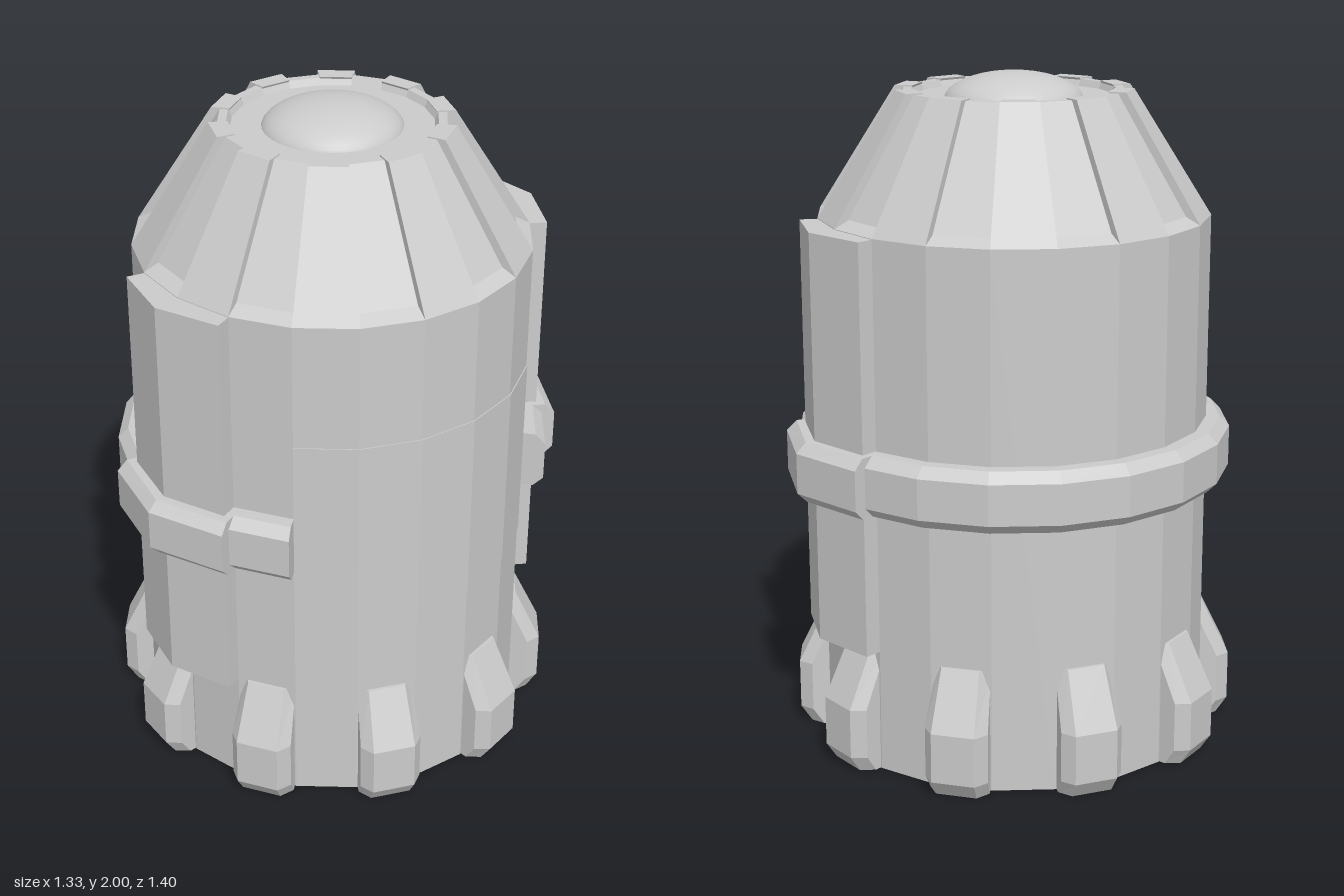
import * as THREE from 'three';

const SIDES = 20;
const STEP = 360 / SIDES;
const grey = new THREE.MeshStandardMaterial({ color: 0xcccccc, flatShading: true });
const smooth = new THREE.MeshStandardMaterial({ color: 0xcccccc });
const pale = new THREE.MeshStandardMaterial({ color: 0xf4f4f4, flatShading: true });

// Sweeps a closed, convex [radius, y] profile around the y axis.
// sections: [angle in degrees from +z towards +x, inset of the outer points]
function sweep(profile, sections) {
  const n = profile.length;
  const rings = sections.map(([deg, inset]) => {
    const a = THREE.MathUtils.degToRad(deg);
    return profile.map(([r, y], j) => {
      const rad = j === 0 || j === n - 1 ? r : r - inset;
      return [rad * Math.sin(a), y, rad * Math.cos(a)];
    });
  });
  const pos = [];
  const tri = (a, b, c) => pos.push(...a, ...b, ...c);
  for (let i = 0; i < rings.length - 1; i++) {
    for (let j = 0; j < n; j++) {
      const k = (j + 1) % n;
      tri(rings[i][j], rings[i + 1][j], rings[i + 1][k]);
      tri(rings[i][j], rings[i + 1][k], rings[i][k]);
    }
  }
  const first = rings[0], last = rings[rings.length - 1];
  for (let j = 1; j < n - 1; j++) {
    tri(first[0], first[j], first[j + 1]);
    tri(last[0], last[j + 1], last[j]);
  }
  const g = new THREE.BufferGeometry();
  g.setAttribute('position', new THREE.Float32BufferAttribute(pos, 3));
  g.computeVertexNormals();
  return g;
}

// Section list on every facet corner between two angles
function corners(from, to) {
  const list = [];
  for (let a = from; a <= to; a += STEP) list.push([a, 0]);
  return list;
}

export function createModel() {
  const model = new THREE.Group();
  const add = (name, geometry, material = grey) => {
    const mesh = new THREE.Mesh(geometry, material);
    mesh.name = name;
    model.add(mesh);
    return mesh;
  };

  // Faceted hull: recessed floor, barrel, tapered nose, sunk top
  const hull = [
    [0, 0.02], [0.47, 0.02], [0.48, 0], [0.58, 0], [0.58, 1.59],
    [0.537, 1.612], [0.325, 1.95], [0.3, 1.95], [0.29, 1.93], [0, 1.93],
  ].map(([r, y]) => new THREE.Vector2(r, y));
  add('hull', new THREE.LatheGeometry(hull, SIDES).toNonIndexed());

  // Lens dome on the top
  const dome = add('topDome', new THREE.SphereGeometry(0.205, 32, 12, 0, Math.PI * 2, 0, Math.PI / 2), smooth);
  dome.scale.y = 0.42;
  dome.position.y = 1.914;

  // Raised nose panels and base feet alternate around the hull
  const panel = [[0.5, 1.59], [0.58, 1.59], [0.35, 1.954], [0.295, 1.954]];
  const foot = [[0.5, 0], [0.635, 0], [0.668, 0.05], [0.668, 0.2], [0.585, 0.37], [0.5, 0.37]];
  for (let k = 0; k < SIDES / 2; k++) {
    const a = 9 + k * 2 * STEP;
    add('nosePanel', sweep(panel, [[a - 9, 0], [a + 9, 0]]));
    const f = a - STEP;
    add('foot', sweep(foot, [[f - 8.5, 0.035], [f - 5.5, 0], [f + 5.5, 0], [f + 8.5, 0.035]]));
  }

  // Band around the hull, open at the window side
  const band = (r) => [
    [0.54, 0.8], [r - 0.03, 0.8], [r, 0.83], [r, 0.95], [r - 0.03, 0.98], [0.54, 0.98],
  ];
  add('band', sweep(band(0.65), corners(126, 396)));

  // Front and back cover plates, each with a stepped-out band section
  const plate = [[0.54, 0.37], [0.66, 0.37], [0.66, 1.588], [0.54, 1.588]];
  for (const [side, a] of [['front', 0], ['back', 162]]) {
    add(side + 'Plate', sweep(plate, [[a - 18, 0.028], [a, 0], [a + 18, 0.028]]));
    add(side + 'PlateBand', sweep(band(0.718), [[a - 20, 0.032], [a, 0], [a + 20, 0.032]]));
  }

  // Pale window strip on the left side
  add('window', sweep([[0.56, 0.64], [0.583, 0.64], [0.583, 1.215], [0.56, 1.215]], corners(36, 126)), pale);

  model.children.forEach((m) => { m.position.z = -0.02; });
  return model;
}
